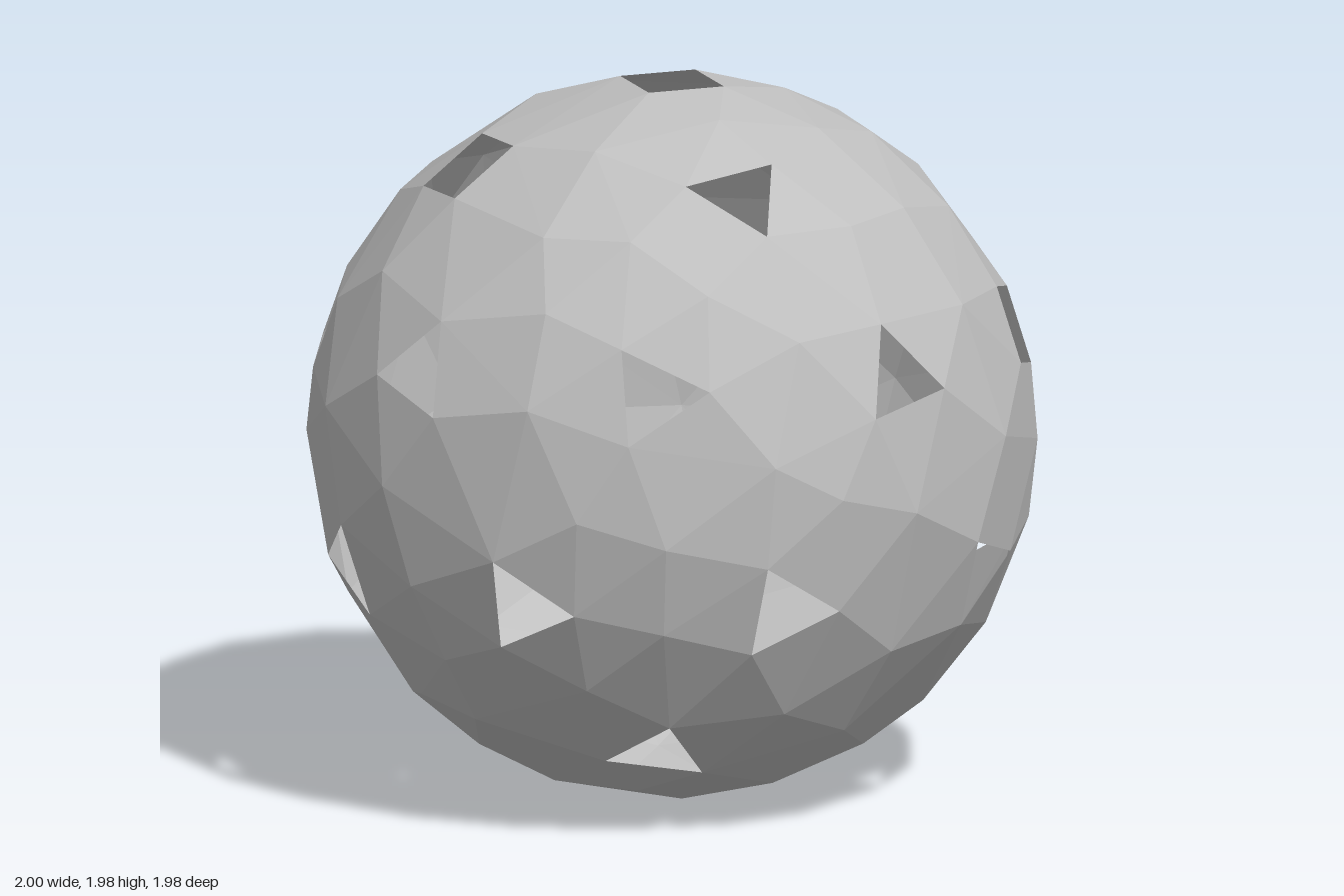
import * as THREE from 'three';
import { ConvexGeometry } from 'three/addons/geometries/ConvexGeometry.js';

const RAD = Math.PI / 180;
const HOLE_RADIUS = 0.155;

// Rings of evenly spaced openings: each is a regular polygon turned by its own
// roll angle; the entries listed under quads have four corners, the rest three
const rings = [
  { latitude: 90, start: 0, rolls: [69], quads: [0] },
  { latitude: 53.5, start: 22, rolls: [42, 32, 12, 50], quads: [2, 3] },
  { latitude: 18.8, start: 0, rolls: [5, 100, 32, 65, 74, 60, 33, 73], quads: [2, 6] },
  { latitude: -17.4, start: 22.5, rolls: [-4, 12, 64, 73, 100, 18, 62, -3], quads: [] },
  { latitude: -49.4, start: 0, rolls: [77, 34, -1, 30], quads: [] },
  { latitude: -90, start: 140, rolls: [97], quads: [] },
];

// Corners of one opening, laid out on the unit sphere
function openingCorners(azimuth, latitude, roll, sides) {
  const a = azimuth * RAD, l = latitude * RAD;
  const east = new THREE.Vector3(Math.cos(a), 0, -Math.sin(a));
  const north = new THREE.Vector3(-Math.sin(l) * Math.sin(a), Math.cos(l), -Math.sin(l) * Math.cos(a));
  const out = new THREE.Vector3().crossVectors(east, north);
  return Array.from({ length: sides }, (_, k) => {
    const t = roll * RAD + (k * 2 * Math.PI) / sides;
    return out.clone().multiplyScalar(Math.sqrt(1 - HOLE_RADIUS ** 2))
      .addScaledVector(east, HOLE_RADIUS * Math.cos(t))
      .addScaledVector(north, HOLE_RADIUS * Math.sin(t));
  });
}

export function createModel() {
  const grey = new THREE.MeshStandardMaterial({ color: 0xbfbfbf, side: THREE.DoubleSide });
  grey.name = 'plainGrey';

  // Opening corners, each remembering its opening
  const points = [], owners = [], centres = [];
  for (const { latitude, start, rolls, quads } of rings) {
    rolls.forEach((roll, i) => {
      const azimuth = start + (i * 360) / rolls.length;
      const corners = openingCorners(azimuth, latitude, roll, quads.includes(i) ? 4 : 3);
      for (const corner of corners) {
        points.push(corner);
        owners.push(centres.length);
      }
      centres.push(corners.reduce((sum, p) => sum.add(p), new THREE.Vector3()).normalize());
    });
  }

  // Widest points at the two sides
  const addFill = p => { points.push(p); owners.push(-1); };
  addFill(new THREE.Vector3(1, 0, 0));
  addFill(new THREE.Vector3(-1, 0, 0));

  // Fill the rest of the sphere by always taking the emptiest spot
  const candidates = [];
  const N = 3000;
  for (let i = 0; i < N; i++) {
    const y = 1 - (2 * i + 1) / N, r = Math.sqrt(1 - y * y), t = i * 2.399963;
    const p = new THREE.Vector3(r * Math.cos(t), y, r * Math.sin(t));
    if (centres.every(c => c.distanceTo(p) > 0.24)) {
      candidates.push({ p, d: Math.min(...points.map(q => q.distanceTo(p))) });
    }
  }
  for (;;) {
    const best = candidates.reduce((a, b) => (b.d > a.d ? b : a));
    if (best.d < 0.22) break;
    addFill(best.p);
    for (const c of candidates) c.d = Math.min(c.d, c.p.distanceTo(best.p));
  }

  // Faceted hull, dropping the faces that span an opening
  const pos = new ConvexGeometry(points).attributes.position;
  const ownerOf = k => {
    const v = new THREE.Vector3().fromBufferAttribute(pos, k);
    return owners[points.findIndex(p => p.distanceToSquared(v) < 1e-8)];
  };
  const kept = [];
  for (let k = 0; k < pos.count; k += 3) {
    const [a, b, c] = [k, k + 1, k + 2].map(ownerOf);
    if (a >= 0 && a === b && b === c) continue;
    for (let j = k; j < k + 3; j++) kept.push(pos.getX(j), pos.getY(j), pos.getZ(j));
  }
  const geometry = new THREE.BufferGeometry();
  geometry.setAttribute('position', new THREE.Float32BufferAttribute(kept, 3));
  geometry.computeVertexNormals();

  // Stand it on the ground, centred
  geometry.computeBoundingBox();
  const box = geometry.boundingBox, mid = box.getCenter(new THREE.Vector3());
  geometry.translate(-mid.x, -box.min.y, -mid.z);

  const shell = new THREE.Mesh(geometry, grey);
  shell.name = 'perforatedShell';
  const model = new THREE.Group();
  model.name = 'facetedHollowSphere';
  model.add(shell);
  return model;
}
